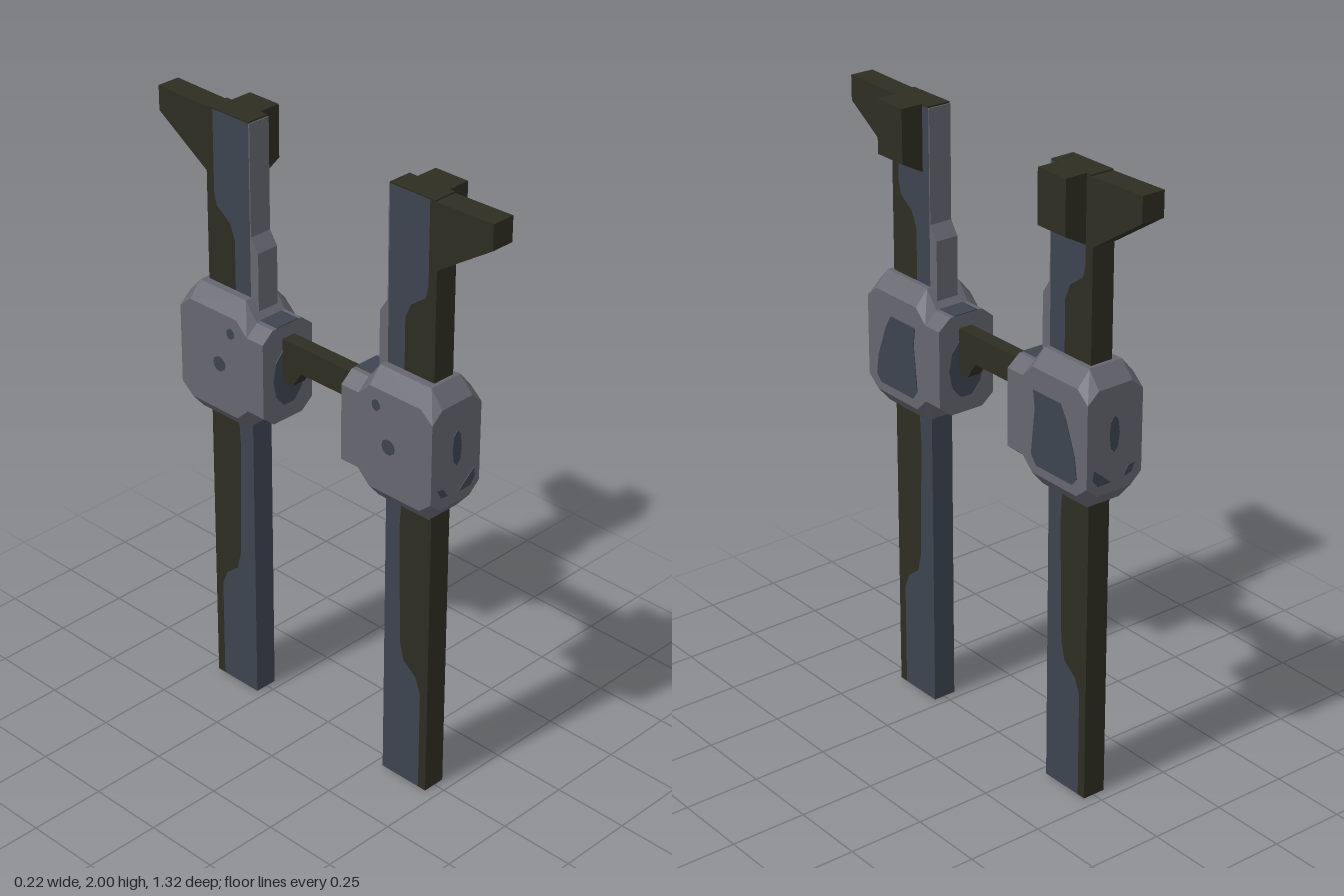
import * as THREE from 'three';
import { ConvexGeometry } from 'three/addons/geometries/ConvexGeometry.js';

const mat = (name, color) => {
  const m = new THREE.MeshStandardMaterial({ color });
  m.name = name;
  return m;
};

// Outline rounded blob, for worn paint spots
const blob = (cx, cy, rx, ry, n = 10) =>
  Array.from({ length: n }, (_, i) => {
    const a = (i / n) * Math.PI * 2;
    return [cx + rx * Math.cos(a), cy + ry * Math.sin(a)];
  });

const outline = (points, sx = 1) =>
  new THREE.Shape(points.map(([a, b]) => new THREE.Vector2(a * sx, b)));

// Side profile given as [z, y], spanning x0..x1
function sideProfile(points, x0, x1, s = 1) {
  const g = new THREE.ExtrudeGeometry(outline(points, s), { depth: x1 - x0, bevelEnabled: false });
  return g.rotateY(-Math.PI / 2).translate(x1, 0, 0);
}

// Front profile given as [x, y], spanning z0..z1
function frontProfile(points, z0, z1, s = 1) {
  const g = new THREE.ExtrudeGeometry(outline(points), { depth: z1 - z0, bevelEnabled: false });
  return g.translate(0, 0, s > 0 ? z0 : -z1);
}

function block(x0, x1, y0, y1, z0, z1, s) {
  return new THREE.BoxGeometry(x1 - x0, y1 - y0, z1 - z0)
    .translate((x0 + x1) / 2, (y0 + y1) / 2, (s * (z0 + z1)) / 2);
}

// Hull through octagonal sections [z, half height, corner x, corner y]
function octagonHull(sections, s) {
  const cx = -0.0075, cy = 1.2175, w = 0.1025, pts = [];
  for (const [z, h, bx, by] of sections)
    for (const i of [-1, 1]) for (const j of [-1, 1]) {
      pts.push(new THREE.Vector3(cx + i * w, cy + j * (h - by), z * s));
      pts.push(new THREE.Vector3(cx + i * (w - bx), cy + j * h, z * s));
    }
  return new ConvexGeometry(pts);
}

export function createModel() {
  const olive = mat('dark olive', 0x2e2d22);
  const blue = mat('slate blue', 0x3d4450);
  const grey = mat('metal grey', 0x666670);
  const model = new THREE.Group();
  model.name = 'twinPostFrame';

  const X0 = -0.042, X1 = 0.036;
  // Wavy paint boundary down the post, [z, y] from bottom to top
  const seam = [[0.43, 0], [0.43, 0.35], [0.41, 0.4], [0.36, 0.44], [0.345, 0.5], [0.335, 0.9],
    [0.345, 1.05], [0.345, 1.6], [0.365, 1.65], [0.42, 1.69], [0.43, 1.73], [0.43, 1.995]];

  for (const s of [1, -1]) {
    const half = new THREE.Group();
    half.name = s > 0 ? 'frontHalf' : 'backHalf';
    model.add(half);
    const add = (name, geometry, material) => {
      const m = new THREE.Mesh(geometry, material);
      m.name = name;
      half.add(m);
    };

    // Post in two colours, the outer part carrying the overhanging hook
    add('postInner', sideProfile([[0.28, 0], ...seam, [0.28, 1.995]], X0, X1, s), blue);
    add('postOuterWithHook', sideProfile(
      [...seam, [0.66, 2], [0.66, 1.92], [0.46, 1.79], [0.46, 0]], X0, X1, s), olive);
    add('postCap', block(X0, X1, 1.995, 2, 0.28, 0.45, s), olive);
    add('sideLug', frontProfile(
      [[X1, 1.79], [0.11, 1.83], [0.11, 2], [X1, 2]], 0.31, 0.43, s), olive);

    // Metal facing on the inner side of the upper post
    add('innerFacing', block(X0, X1, 1.4, 1.995, 0.276, 0.28, s), grey);
    add('innerPad', sideProfile(
      [[0.28, 1.36], [0.247, 1.36], [0.247, 1.59], [0.28, 1.64]], X0, X1, s), grey);

    // Chamfered housing and its inner boss
    add('housing', octagonHull([[0.518, 0.165, 0.04, 0.035], [0.473, 0.2175, 0.043, 0.05],
      [0.275, 0.2175, 0.043, 0.05], [0.23, 0.16, 0.043, 0.035]], s), grey);
    add('housingBoss', octagonHull([[0.26, 0.16, 0.043, 0.035], [0.162, 0.16, 0.043, 0.035]], s), grey);

    // Worn paint on the housing
    add('sidePatch', sideProfile([[0.4, 1.315], [0.28, 1.315], [0.288, 1.26], [0.272, 1.11], [0.295, 1.08],
      [0.455, 1.08], [0.475, 1.105], [0.465, 1.17], [0.425, 1.275]], 0.094, 0.0975, s), blue);
    add('sideSpotLow', sideProfile(blob(0.35, 1.21, 0.025, 0.025), -0.1125, -0.109, s), blue);
    add('sideSpotHigh', sideProfile(blob(0.3, 1.33, 0.015, 0.018), -0.1125, -0.109, s), blue);
    add('outerSlot', frontProfile(blob(-0.005, 1.235, 0.019, 0.058, 8), 0.517, 0.52, s), blue);
    add('outerSpotLeft', frontProfile(
      [[0.005, 1.085], [0.055, 1.085], [0.075, 1.11], [0.07, 1.14], [0.04, 1.115]], 0.517, 0.52, s), blue);
    add('outerSpotRight', frontProfile(
      [[-0.04, 1.09], [-0.07, 1.095], [-0.085, 1.125], [-0.06, 1.12]], 0.517, 0.52, s), blue);
    add('innerPatch', frontProfile(blob(-0.005, 1.205, 0.065, 0.1), 0.159, 0.163, s), blue);
    add('bossTopPatch', block(-0.05, 0.037, 1.377, 1.38, 0.162, 0.245, s), blue);
  }

  // Bridge joining both housings
  const bridge = new THREE.Mesh(sideProfile([[-0.18, 1.335], [0.18, 1.335], [0.18, 1.19], [0.12, 1.19],
    [0.083, 1.245], [-0.083, 1.245], [-0.12, 1.19], [-0.18, 1.19]], -0.029, 0.021), olive);
  bridge.name = 'bridge';
  model.add(bridge);
  return model;
}
